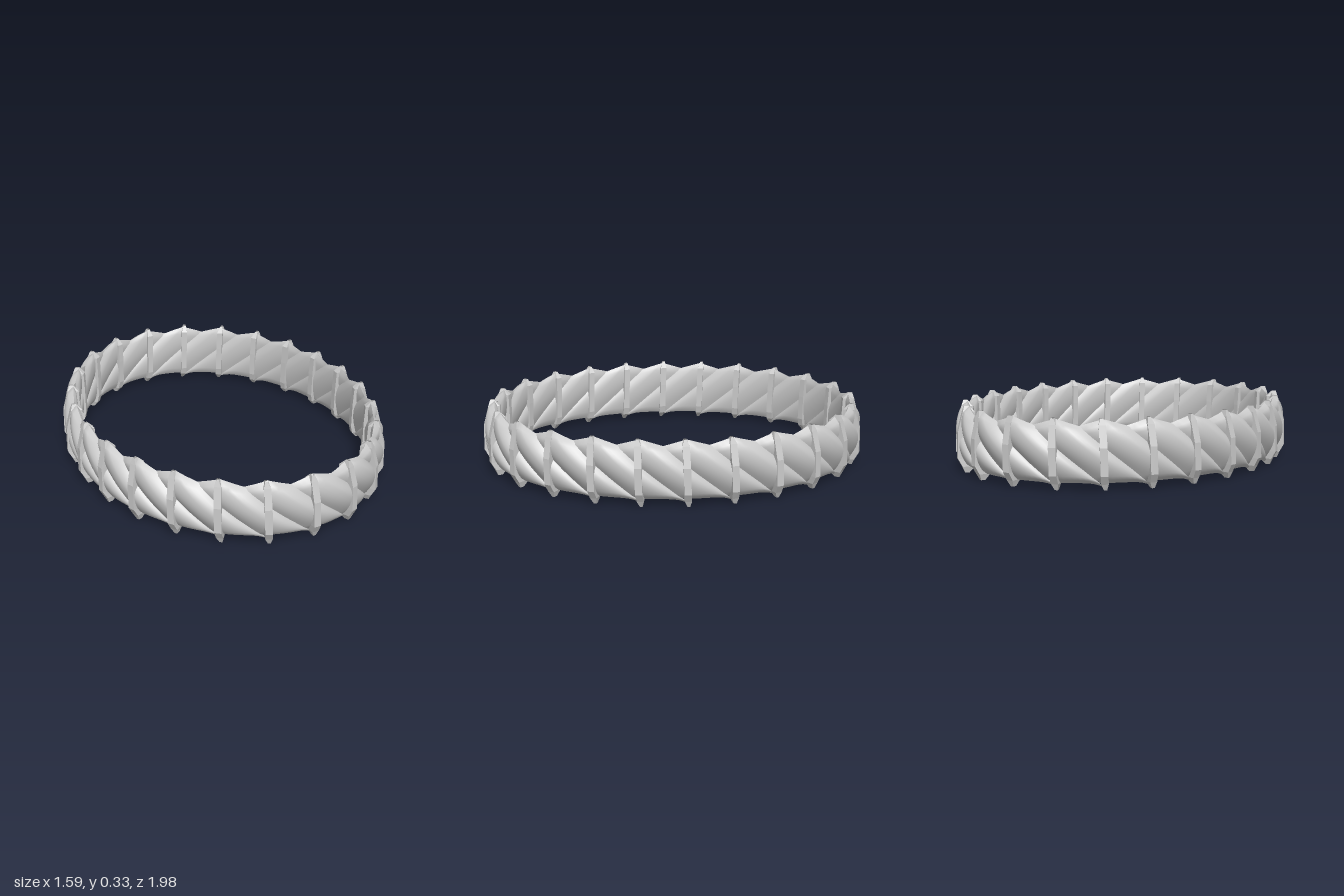
import * as THREE from 'three';
import { mergeGeometries } from 'three/addons/utils/BufferGeometryUtils.js';

const COUNT = 24;
const ring = new THREE.EllipseCurve(0, 0, 0.75, 0.945);
ring.arcLengthDivisions = 800;
const PITCH = ring.getLength() / COUNT;

// Wraps a flat point (step along the ring, height, outward offset) onto the oval
function wrap(step, y, n) {
  const u = (((step / COUNT) % 1) + 1) % 1;
  const t = ring.getUtoTmapping(u);
  const a = t * Math.PI * 2;
  // angle 0 is at the front, growing towards the right side
  const p = new THREE.Vector2(0.75 * Math.cos(a), 0.945 * Math.sin(a));
  const out = new THREE.Vector2(0.945 * Math.cos(a), 0.75 * Math.sin(a)).normalize();
  p.addScaledVector(out, n);
  return [p.x, y, -p.y];
}

// Grid surface from a rule point(i, j), i to the right and j downwards
function sheet(cols, rows, point, flip) {
  const pos = [], index = [];
  for (let j = 0; j <= rows; j++)
    for (let i = 0; i <= cols; i++) pos.push(...point(i / cols, j / rows));
  for (let j = 0; j < rows; j++)
    for (let i = 0; i < cols; i++) {
      const a = j * (cols + 1) + i, b = a + 1, c = a + cols + 1, d = c + 1;
      if (flip) index.push(a, b, c, b, d, c);
      else index.push(a, c, b, b, c, d);
    }
  const g = new THREE.BufferGeometry();
  g.setAttribute('position', new THREE.Float32BufferAttribute(pos, 3));
  g.setIndex(index);
  g.computeVertexNormals();
  return g;
}

// Slanted, lens-shaped strand running from the top left to the bottom right
function strandGeometry(k) {
  const side = (outer) => (i, j) => {
    const v = i * 2 - 1;
    const belly = 1 - v * v;
    const full = Math.pow(Math.max(0, Math.sin(Math.PI * j)), 0.45);
    const step = k + 1.5 * j + v * 0.56;
    const top = 0.325 - 0.035 * Math.abs(v);
    const bottom = 0.03 - 0.025 * Math.pow(Math.max(0, v), 3);
    const y = top + (bottom - top) * j;
    const n = outer
      ? -0.015 + full * (0.022 + 0.036 * belly)
      : -0.015 - full * (0.006 + 0.018 * belly);
    return wrap(step, y, n);
  };
  // thin walls close the long edges
  const edge = (i) => (w, j) => {
    const p = side(false)(i, j), q = side(true)(i, j);
    return p.map((c, m) => c + (q[m] - c) * w);
  };
  return mergeGeometries([
    sheet(10, 16, side(true), false),
    sheet(10, 16, side(false), true),
    sheet(1, 16, edge(0), false),
    sheet(1, 16, edge(1), true),
  ]);
}

// Upright pleat at each joint: [height, inner offset, outer offset]
const PLEAT = [
  [0.33, -0.012, 0.008], [0.3, -0.042, 0.018], [0.2, -0.046, 0.045],
  [0.07, -0.046, 0.047], [0.03, -0.036, 0.025], [0.0, -0.01, 0.012],
];
function pleatGeometry(k) {
  const corner = (i, j) => {
    const [y, inner, outer] = PLEAT[Math.round(j * 5)];
    const c = Math.round(i * 4) % 4;
    const half = y > 0.32 || y < 0.01 ? 0.03 : 0.075;
    const lean = 0.08 * (0.5 - j);
    return wrap(k - lean + (c === 1 || c === 2 ? half : -half), y, c < 2 ? outer : inner);
  };
  const g = sheet(4, 5, corner, false).toNonIndexed();
  g.computeVertexNormals();
  return g;
}

export function createModel() {
  const group = new THREE.Group();
  group.name = 'twistedRing';
  const material = new THREE.MeshStandardMaterial({ color: 0xcccccc, side: THREE.DoubleSide });
  const add = (name, geometry) => {
    const mesh = new THREE.Mesh(geometry, material);
    mesh.name = name;
    group.add(mesh);
  };
  for (let k = 0; k < COUNT; k++) {
    add('strand', strandGeometry(k));
    add('pleat', pleatGeometry(k));
  }
  return group;
}
